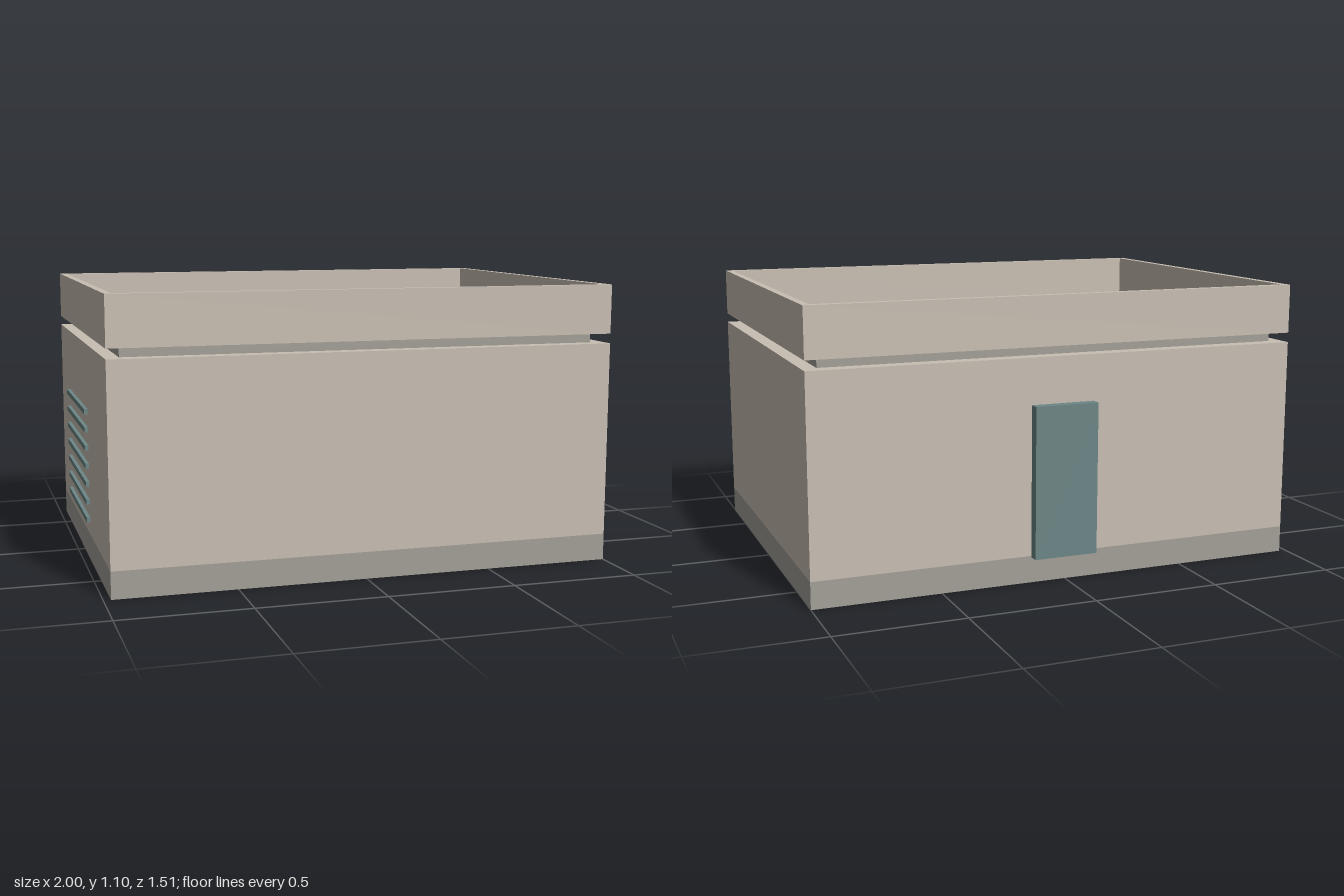
import * as THREE from 'three';

const material = (name, color) => {
  const m = new THREE.MeshStandardMaterial({ color });
  m.name = name;
  return m;
};

// Box given by its lower and upper corners
function block(name, mat, [x0, y0, z0], [x1, y1, z1]) {
  const mesh = new THREE.Mesh(new THREE.BoxGeometry(x1 - x0, y1 - y0, z1 - z0), mat);
  mesh.position.set((x0 + x1) / 2, (y0 + y1) / 2, (z0 + z1) / 2);
  mesh.name = name;
  return mesh;
}

const rectangle = (PathType, w, d) => new PathType([
  new THREE.Vector2(-w / 2, -d / 2), new THREE.Vector2(w / 2, -d / 2),
  new THREE.Vector2(w / 2, d / 2), new THREE.Vector2(-w / 2, d / 2),
]);

export function createModel() {
  const beige = material('wall beige', 0xc9bfb3);
  const grey = material('concrete grey', 0xa3a098);
  const teal = material('metal teal', 0x6d8686);

  const model = new THREE.Group();
  model.name = 'utilityBuilding';

  // Footprint shared by plinth, walls and parapet
  const x0 = -0.972, x1 = 1, z0 = -0.716, z1 = 0.757;
  model.add(block('plinth', grey, [x0, 0, z0], [x1, 0.105, z1]));
  model.add(block('walls', beige, [x0, 0.105, z0], [x1, 0.87, z1]));

  // Roof slab set in from the walls
  model.add(block('roof', grey, [-0.917, 0.87, -0.659], [0.943, 0.908, 0.7]));

  // Parapet: an open rectangular ring above the roof
  const wall = 0.028;
  const ring = rectangle(THREE.Shape, x1 - x0, z1 - z0);
  ring.holes.push(rectangle(THREE.Path, x1 - x0 - 2 * wall, z1 - z0 - 2 * wall));
  const ringGeometry = new THREE.ExtrudeGeometry(ring, { depth: 0.192, bevelEnabled: false });
  ringGeometry.rotateX(-Math.PI / 2);
  const parapet = new THREE.Mesh(ringGeometry, beige);
  parapet.position.set((x0 + x1) / 2, 0.908, (z0 + z1) / 2);
  parapet.name = 'parapet';
  model.add(parapet);

  // Door on the back wall
  model.add(block('door', teal, [-0.115, 0.1, -0.757], [0.14, 0.69, z0]));

  // Vent louvres standing just off the side wall
  const vent = new THREE.Group();
  vent.name = 'vent';
  for (let i = 0; i < 7; i++) {
    const y = 0.195 + i * 0.071;
    vent.add(block('louvre', teal, [-1, y - 0.01, -0.28], [-0.986, y + 0.01, 0.318]));
  }
  model.add(vent);

  return model;
}
